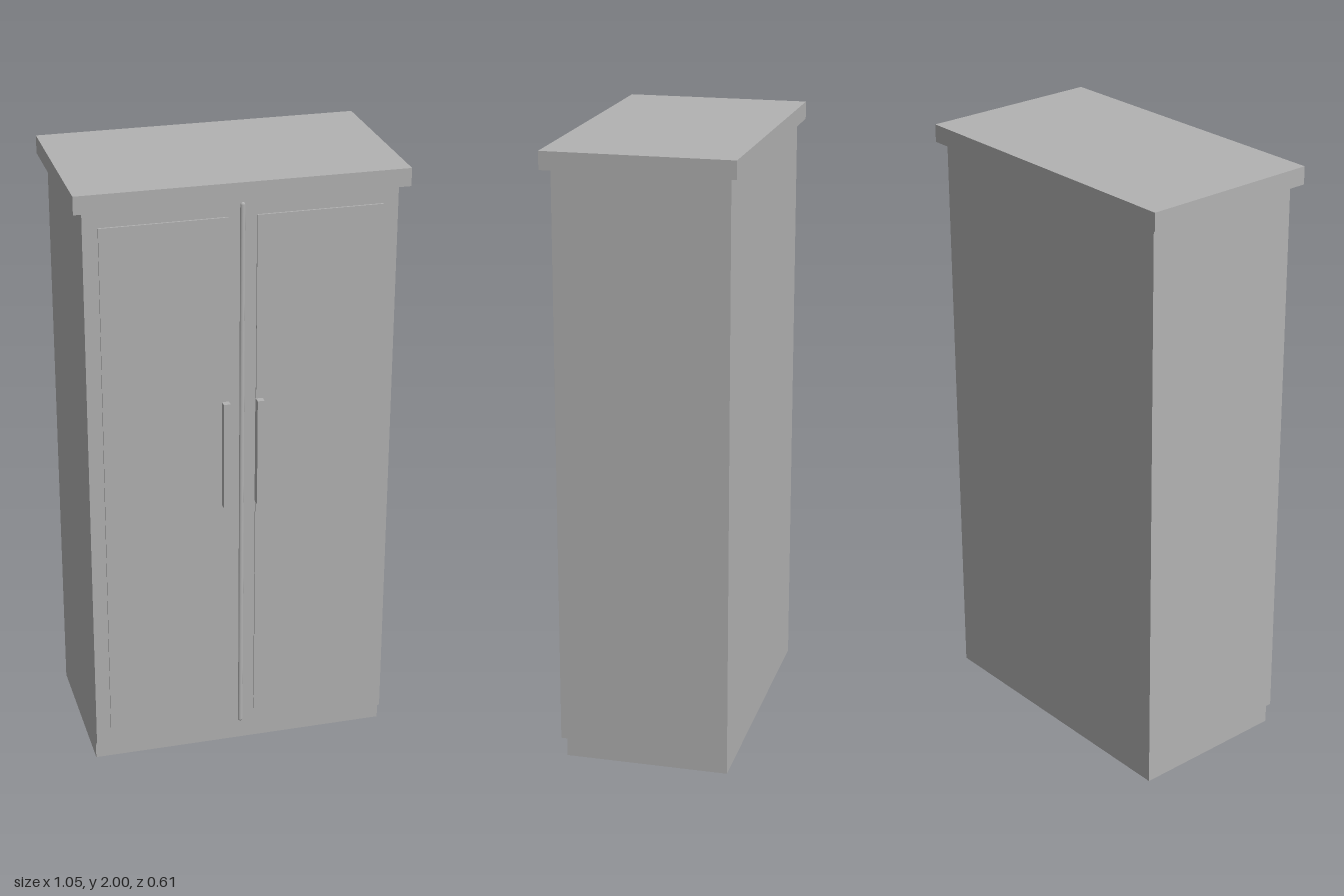
import * as THREE from 'three';

export function createModel() {
  const group = new THREE.Group();
  const grey = new THREE.MeshStandardMaterial({ color: 0xb2b2b2 });
  grey.name = 'grey';
  const greyOpen = new THREE.MeshStandardMaterial({ color: 0xb2b2b2, side: THREE.DoubleSide });
  greyOpen.name = 'greyThinBoard';

  // box given by its lower and upper corners
  const box = (name, [x0, y0, z0], [x1, y1, z1]) => {
    const mesh = new THREE.Mesh(new THREE.BoxGeometry(x1 - x0, y1 - y0, z1 - z0), grey);
    mesh.position.set((x0 + x1) / 2, (y0 + y1) / 2, (z0 + z1) / 2);
    mesh.name = name;
    group.add(mesh);
  };

  // cabinet body and overhanging top
  const W = 0.495, BACK = -0.28, FRONT = 0.275, KICK = 0.06, KICK_Z = 0.255;
  box('cabinetBody', [-W, KICK, BACK], [W, 1.942, FRONT]);
  box('topBoard', [-0.525, 1.942, -0.303], [0.525, 2, 0.303]);

  // hollow base of thin boards, open underneath, set back at the front
  const base = new THREE.Group();
  base.name = 'base';
  const depth = KICK_Z - BACK, midZ = (KICK_Z + BACK) / 2;
  for (const [name, width, x, z, turn] of [
    ['baseFront', 2 * W, 0, KICK_Z, 0],
    ['baseBack', 2 * W, 0, BACK, Math.PI],
    ['baseLeft', depth, W, midZ, Math.PI / 2],
    ['baseRight', depth, -W, midZ, -Math.PI / 2],
  ]) {
    const board = new THREE.Mesh(new THREE.PlaneGeometry(width, KICK), greyOpen);
    board.position.set(x, KICK / 2, z);
    board.rotation.y = turn;
    board.name = name;
    base.add(board);
  }
  group.add(base);

  // raised door panels and bar handles, mirrored
  for (const [side, s] of [['left', 1], ['right', -1]]) {
    const span = (a, b) => (s > 0 ? [a, b] : [-b, -a]);
    const [p0, p1] = span(0.045, 0.447);
    box(side + 'DoorPanel', [p0, 0.12, FRONT - 0.005], [p1, 1.885, 0.281]);
    const [h0, h1] = span(0.044, 0.066);
    box(side + 'Handle', [h0, 0.912, FRONT], [h1, 1.275, 0.304]);
  }

  // slim round-ended strip where the doors meet
  const strip = new THREE.Mesh(new THREE.CapsuleGeometry(0.008, 1.834, 4, 12), grey);
  strip.position.set(0, 1.003, FRONT);
  strip.scale.z = 0.7;
  strip.name = 'doorStrip';
  group.add(strip);

  return group;
}
